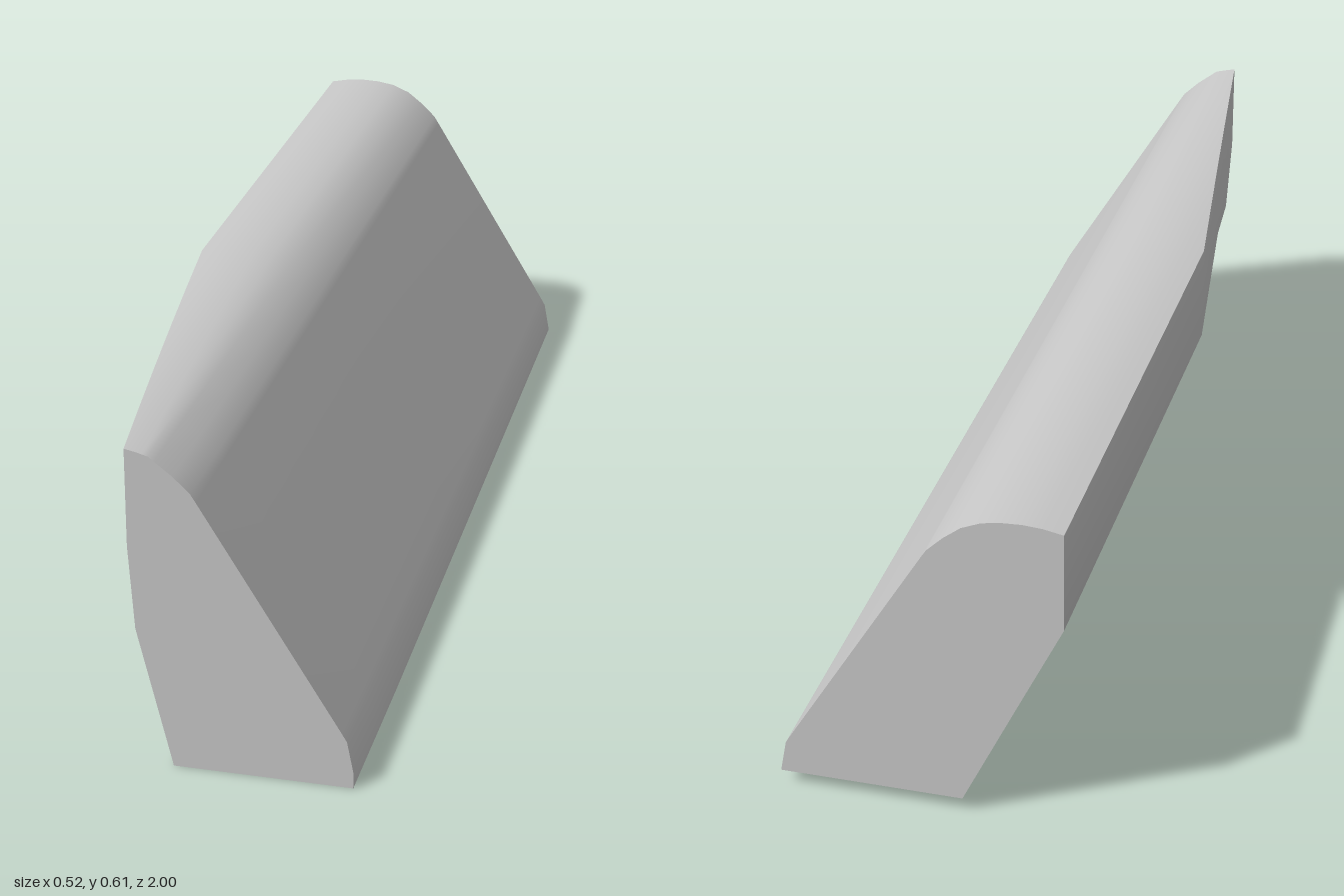
import * as THREE from 'three';
import { toCreasedNormals } from 'three/addons/utils/BufferGeometryUtils.js';

const lerp = THREE.MathUtils.lerp;
const CHAMFER_START = 0.09;
const topY = (x) => 0.6055 - 1.7 * (x + 0.185) ** 2;

// Counterclockwise outline of the wedge at depth z
function section(z) {
  const t = Math.max(0, (z - CHAMFER_START) / (1 - CHAMFER_START)); // front chamfer
  const floor = 0.028 * THREE.MathUtils.clamp((0.66 - z) / 1.66, 0, 1); // rising underside
  const left = lerp(-0.26, -0.135, t);
  const bottomLeft = -0.063 - 0.48 * floor;
  const points = [
    [left, topY(left)],
    [left, lerp(0.41, 0.42, t)],
    [lerp(-0.189, -0.125, t), 0.263],
    [bottomLeft, floor],
    [0.257, floor],
    [0.257, 0.032],
    [0.246, 0.09],
    [0.236, 0.107],
    [-0.012, 0.514],
    [-0.022, 0.53],
    [-0.052, 0.559],
    [-0.083, 0.583],
  ];
  // Rounded crown back to the left edge
  for (let i = 1; i < 5; i++) {
    const x = lerp(-0.083, left, i / 5);
    points.push([x, topY(x)]);
  }
  return points;
}

function bodyGeometry() {
  const depths = [-1, CHAMFER_START, 0.28, 0.47, 0.66, 0.83, 1];
  const positions = [];
  const index = [];
  const n = section(0).length;
  for (const z of depths) for (const [x, y] of section(z)) positions.push(x, y, z);

  // Skin between neighbouring sections
  for (let i = 0; i < depths.length - 1; i++) {
    for (let j = 0; j < n; j++) {
      const a = i * n + j;
      const b = i * n + ((j + 1) % n);
      index.push(a, b, b + n, a, b + n, a + n);
    }
  }
  // Flat back and front ends
  const last = (depths.length - 1) * n;
  for (let j = 1; j < n - 1; j++) {
    index.push(0, j + 1, j);
    index.push(last, last + j, last + j + 1);
  }

  const geometry = new THREE.BufferGeometry();
  geometry.setAttribute('position', new THREE.Float32BufferAttribute(positions, 3));
  geometry.setIndex(index);
  return toCreasedNormals(geometry, 0.65);
}

export function createModel() {
  const group = new THREE.Group();
  group.name = 'slopedWedge';
  const lightGrey = new THREE.MeshStandardMaterial({ color: 0xc8c8c8 });
  lightGrey.name = 'lightGrey';

  const body = new THREE.Mesh(bodyGeometry(), lightGrey);
  body.name = 'wedgeBody';
  group.add(body);
  return group;
}
